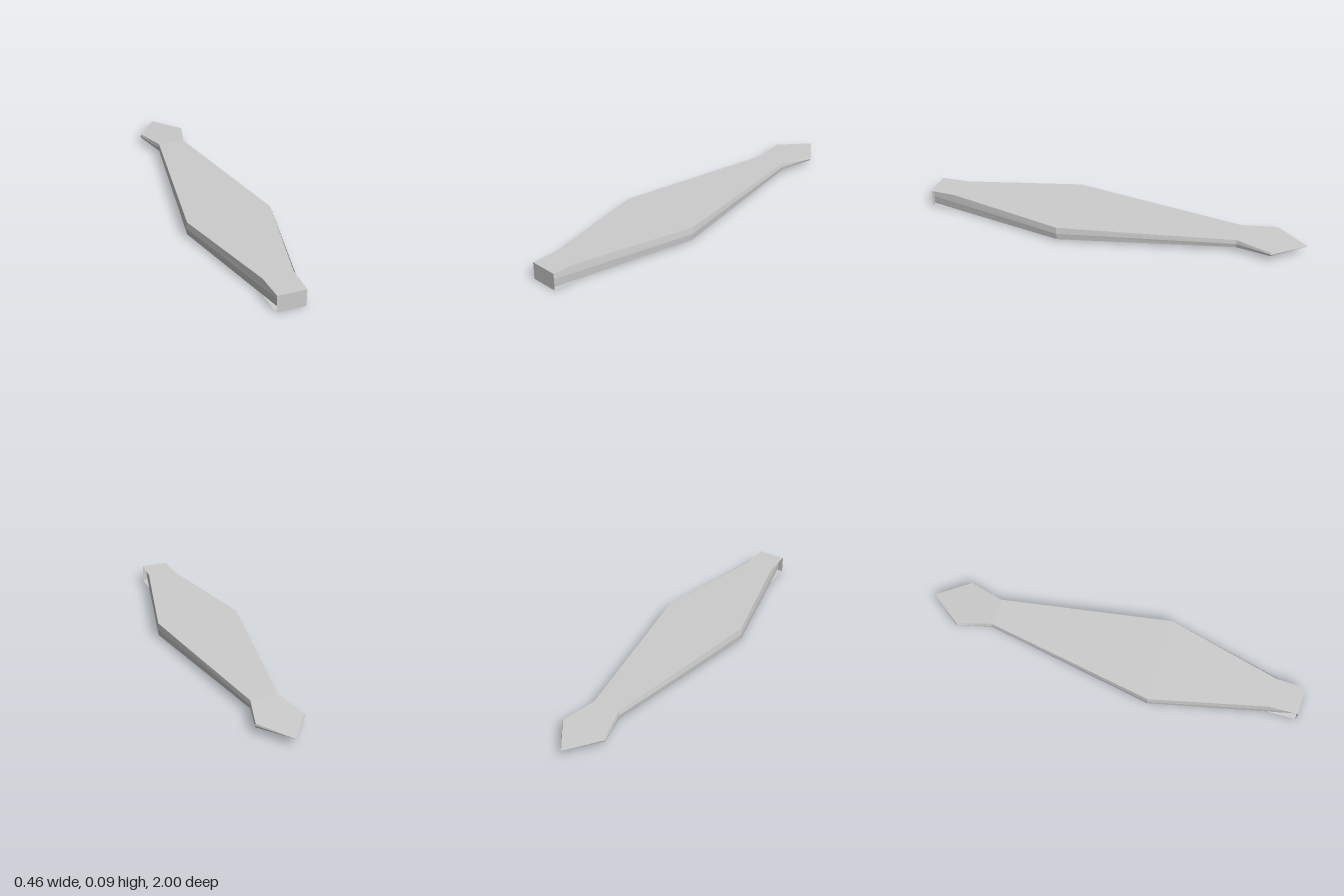
import * as THREE from 'three';

const MID_Y = 0.045;

// Joins two rows of points with quads
function strip(name, a, b, material) {
  const pos = [];
  for (let i = 0; i < a.length - 1; i++) {
    for (const p of [a[i], a[i + 1], b[i], b[i], a[i + 1], b[i + 1]]) pos.push(...p);
  }
  const geometry = new THREE.BufferGeometry();
  geometry.setAttribute('position', new THREE.Float32BufferAttribute(pos, 3));
  geometry.computeVertexNormals();
  const mesh = new THREE.Mesh(geometry, material);
  mesh.name = name;
  return mesh;
}

export function createModel() {
  const group = new THREE.Group();
  group.name = 'taperedBlade';
  const grey = new THREE.MeshStandardMaterial({ color: 0xcccccc, flatShading: true, side: THREE.DoubleSide });
  grey.name = 'light grey';

  // Outline stations from tip to butt: z, half width, half thickness
  const plate = [
    [-1, 0, 0], [-0.83, 0.122, 0.01], [-0.65, 0.072, 0.0215],
    [0.25, 0.224, 0.0345], [0.85, 0.078, 0.043], [1, 0.073, 0.045],
  ];
  const row = (stations, side, level, bulge = 0) =>
    stations.map(([z, w, h]) => [side * (w + (w ? bulge : 0)), MID_Y + level * h, z]);

  // Flat faces
  const topL = row(plate, -1, 1), topR = row(plate, 1, 1);
  const lowL = row(plate, -1, -1), lowR = row(plate, 1, -1);
  group.add(strip('topFace', topL, topR, grey));
  group.add(strip('bottomFace', lowR, lowL, grey));

  // Butt cap
  const end = plate.length - 1;
  group.add(strip('buttCap', [topL[end], lowL[end]], [topR[end], lowR[end]], grey));

  // Slightly ridged side walls, running straight inward at the butt
  for (const side of [1, -1]) {
    const wall = [...plate.slice(0, 4), [1, side > 0 ? 0.046 : 0.041, 0.045]];
    const upper = row(wall, side, 1);
    const ridge = row(wall, side, 0, 0.004);
    const lower = row(wall, side, -1);
    const rows = side > 0 ? [upper, ridge, lower] : [lower, ridge, upper];
    const label = side > 0 ? 'left' : 'right';
    for (let i = 0; i < 2; i++) {
      const half = (i === 0) === (side > 0) ? 'Upper' : 'Lower';
      group.add(strip(`${label}${half}Wall`, rows[i], rows[i + 1], grey));
    }
  }
  return group;
}
